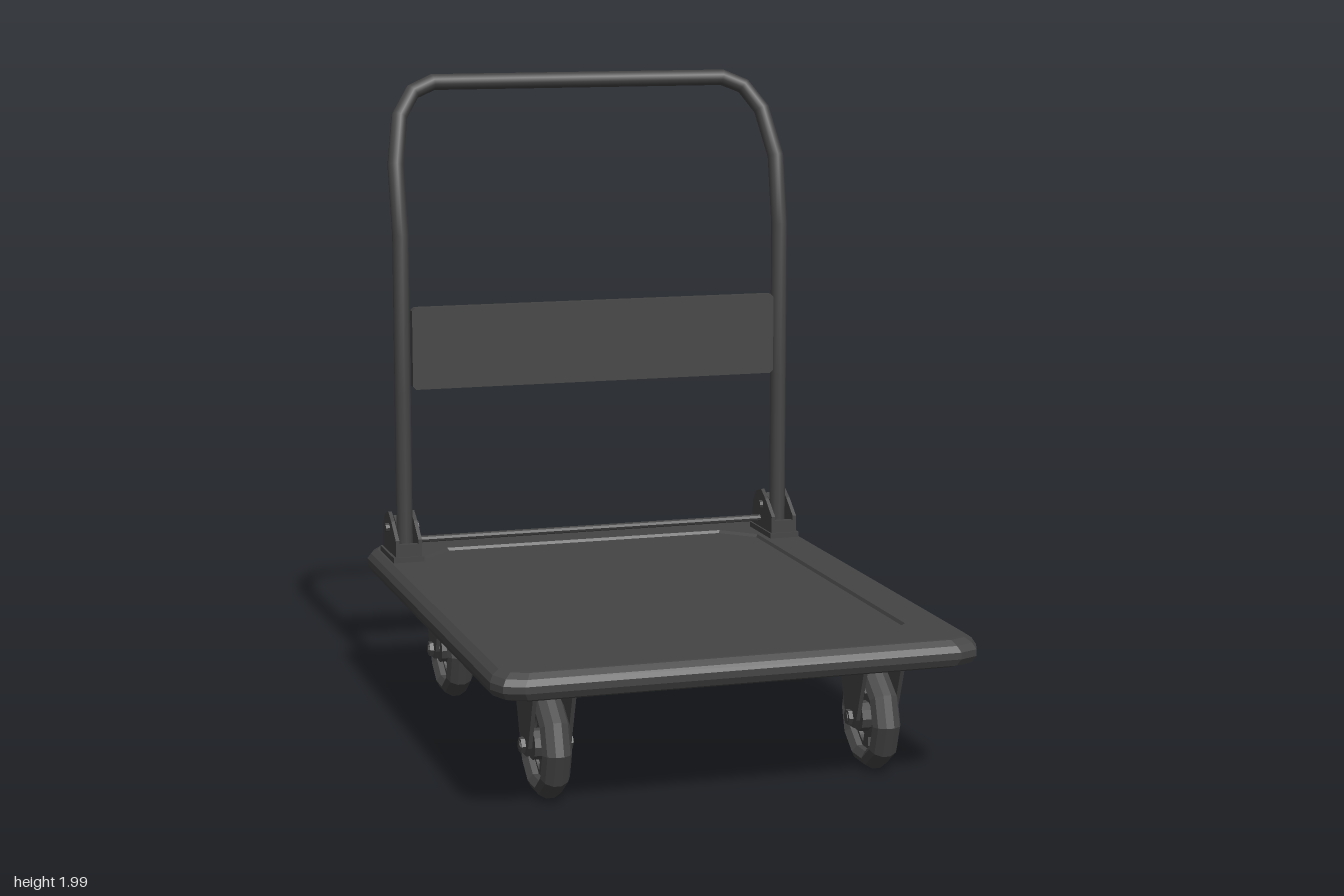
import * as THREE from 'three';

const flat = new THREE.MeshStandardMaterial({ color: 0x444444, flatShading: true, side: THREE.DoubleSide });
const smooth = new THREE.MeshStandardMaterial({ color: 0x444444 });

function add(parent, name, geometry, x = 0, y = 0, z = 0, material = flat) {
  const mesh = new THREE.Mesh(geometry, material);
  mesh.name = name;
  mesh.position.set(x, y, z);
  parent.add(mesh);
  return mesh;
}

// Cylinder lying along x
const rod = (r, length, sides = 8) => new THREE.CylinderGeometry(r, r, length, sides).rotateZ(Math.PI / 2);

// Side outline given as [z, y] points, extruded along x and centred on x = 0
function sidePlate(points, thickness) {
  const shape = new THREE.Shape(points.map(([z, y]) => new THREE.Vector2(-z, y)));
  const geo = new THREE.ExtrudeGeometry(shape, { depth: thickness, bevelEnabled: false });
  return geo.translate(0, 0, -thickness / 2).rotateY(Math.PI / 2);
}

// Polyline path: tube rings sit exactly on the given points
class Polyline extends THREE.Curve {
  constructor(points) { super(); this.points = points; }
  getPointAt(u) { return this.points[Math.round(u * (this.points.length - 1))].clone(); }
  getTangentAt(u) {
    const p = this.points, i = Math.round(u * (p.length - 1));
    const t = new THREE.Vector3();
    if (i > 0) t.add(p[i].clone().sub(p[i - 1]).normalize());
    if (i < p.length - 1) t.add(p[i + 1].clone().sub(p[i]).normalize());
    return t.normalize();
  }
}

// Rectangle with cut corners, three points per corner; bulge 0 = chamfer, 1 = round
function cornerRing([hx, hz, y, r, bulge]) {
  const ring = [];
  [[1, 1], [-1, 1], [-1, -1], [1, -1]].forEach(([sx, sz], c) => {
    for (let k = 0; k < 3; k++) {
      const a = (c + k / 2) * Math.PI / 2;
      const s = k === 1 ? THREE.MathUtils.lerp(Math.SQRT1_2, 1, bulge) : 1;
      ring.push([sx * (hx - r) + Math.cos(a) * r * s, y, sz * (hz - r) + Math.sin(a) * r * s]);
    }
  });
  return ring;
}

function loftRings(rings) {
  const n = rings[0].length, index = [];
  for (let i = 0; i < rings.length - 1; i++) {
    for (let j = 0; j < n; j++) {
      const a = i * n + j, b = i * n + (j + 1) % n;
      index.push(a, a + n, b + n, a, b + n, b);
    }
  }
  const geo = new THREE.BufferGeometry();
  geo.setAttribute('position', new THREE.Float32BufferAttribute(rings.flat(2), 3));
  geo.setIndex(index);
  geo.computeVertexNormals();
  return geo;
}

function createCaster() {
  const caster = new THREE.Group();
  caster.name = 'caster';
  // Tyre with a crowned tread, open in the middle
  const profile = [[0.105, -0.03], [0.125, -0.044], [0.145, -0.034], [0.158, -0.012], [0.158, 0.012],
    [0.145, 0.034], [0.125, 0.044], [0.105, 0.03], [0.105, -0.03]].map(([r, h]) => new THREE.Vector2(r, h));
  add(caster, 'tyre', new THREE.LatheGeometry(profile, 10).rotateZ(Math.PI / 2), 0, 0.16);
  // Rim disc with slots between broad spokes
  const disc = new THREE.Shape().absarc(0, 0, 0.108, 0, Math.PI * 2);
  for (let i = 0; i < 5; i++) {
    const a = i * Math.PI * 0.4;
    const slot = new THREE.Path();
    slot.absarc(0, 0, 0.092, a, a + 0.8, false);
    slot.absarc(0, 0, 0.065, a + 0.8, a, true);
    slot.closePath();
    disc.holes.push(slot);
  }
  const rim = new THREE.ExtrudeGeometry(disc, { depth: 0.024, bevelEnabled: false, curveSegments: 6 });
  add(caster, 'rim', rim.translate(0, 0, -0.012).rotateY(Math.PI / 2), 0, 0.16);
  add(caster, 'hub', rod(0.045, 0.085, 10), 0, 0.16);
  add(caster, 'axle', rod(0.014, 0.16), 0, 0.16);
  // Fork
  const cheek = [[-0.12, 0.375], [0.12, 0.375], [0.11, 0.34], [0.045, 0.16], [0.025, 0.132],
    [-0.025, 0.132], [-0.045, 0.16], [-0.11, 0.34]];
  for (const s of [-1, 1]) {
    add(caster, 'forkCheek', sidePlate(cheek, 0.012), s * 0.058);
    add(caster, 'axleNut', rod(0.024, 0.014, 6), s * 0.07, 0.16);
  }
  add(caster, 'forkCrown', new THREE.BoxGeometry(0.128, 0.012, 0.23), 0, 0.366);
  add(caster, 'swivel', new THREE.CylinderGeometry(0.06, 0.06, 0.03, 10), 0, 0.385);
  return caster;
}

function createHinge() {
  const hinge = new THREE.Group();
  hinge.name = 'handleHinge';
  const outline = [[-0.58, 0.45], [-0.58, 0.525], [-0.645, 0.575], [-0.69, 0.6], [-0.74, 0.585],
    [-0.77, 0.55], [-0.78, 0.45]];
  for (const x of [0.602, 0.676]) add(hinge, 'hingePlate', sidePlate(outline, 0.012), x);
  // Base plate and curved strap between the cheeks
  add(hinge, 'hingeBase', new THREE.BoxGeometry(0.1, 0.02, 0.21), 0.64, 0.46, -0.68);
  const strap = [[-0.72, 0.46], [-0.735, 0.54], [-0.7, 0.585], [-0.66, 0.565], [-0.66, 0.55],
    [-0.7, 0.567], [-0.72, 0.535], [-0.705, 0.46]];
  add(hinge, 'hingeStrap', sidePlate(strap, 0.045), 0.64);
  add(hinge, 'frontStop', new THREE.BoxGeometry(0.075, 0.04, 0.02), 0.64, 0.49, -0.592);
  add(hinge, 'pivotBolt', rod(0.014, 0.11), 0.64, 0.55, -0.68);
  return hinge;
}

export function createModel() {
  const model = new THREE.Group();
  model.name = 'platformTrolley';

  // Platform: hollow underside, rounded rim, shallow panel on top
  const sections = [
    [0, 0, 0.395, 0, 0], [0.64, 0.82, 0.395, 0.06, 1], [0.65, 0.83, 0.37, 0.06, 1],
    [0.69, 0.87, 0.37, 0.07, 1], [0.715, 0.895, 0.38, 0.08, 1], [0.725, 0.905, 0.4, 0.08, 1],
    [0.725, 0.905, 0.42, 0.08, 1], [0.715, 0.895, 0.438, 0.08, 1], [0.695, 0.875, 0.452, 0.07, 1],
    [0.685, 0.865, 0.453, 0.07, 1], [0.572, 0.755, 0.453, 0.1, 0], [0.567, 0.75, 0.444, 0.1, 0],
    [0, 0, 0.444, 0, 0],
  ];
  add(model, 'platform', loftRings(sections.map(cornerRing)));

  // Push handle: upright legs that lean back towards the top bar
  const half = [[0.638, 0.49, -0.646], [0.638, 1, -0.646], [0.638, 1.5, -0.646], [0.64, 1.72, -0.692],
    [0.612, 1.87, -0.755], [0.56, 1.945, -0.79], [0.49, 1.974, -0.805]];
  const right = half.map(p => new THREE.Vector3(...p));
  const left = half.map(([x, y, z]) => new THREE.Vector3(-x, y, z)).reverse();
  const path = new Polyline([...right, ...left]);
  add(model, 'handle', new THREE.TubeGeometry(path, path.points.length - 1, 0.026, 10), 0, 0, 0, smooth);

  // Crossing panel and foot release rod
  const panel = new THREE.Shape([[-0.61, -0.122], [-0.6, -0.132], [0.6, -0.132], [0.61, -0.122],
    [0.61, 0.122], [0.6, 0.132], [-0.6, 0.132], [-0.61, 0.122]].map(p => new THREE.Vector2(...p)));
  add(model, 'handlePanel', new THREE.ExtrudeGeometry(panel, { depth: 0.028, bevelEnabled: false }),
    0, 1.138, -0.645);
  add(model, 'releaseRod', rod(0.011, 1.22), 0, 0.5, -0.7);

  const hinge = createHinge();
  const mirrored = hinge.clone();
  mirrored.scale.x = -1;
  model.add(hinge, mirrored);

  // Four casters
  const caster = createCaster();
  for (const x of [-0.5, 0.5]) {
    for (const z of [-0.588, 0.575]) {
      const c = caster.clone();
      c.position.set(x, 0, z);
      model.add(c);
    }
  }
  return model;
}
